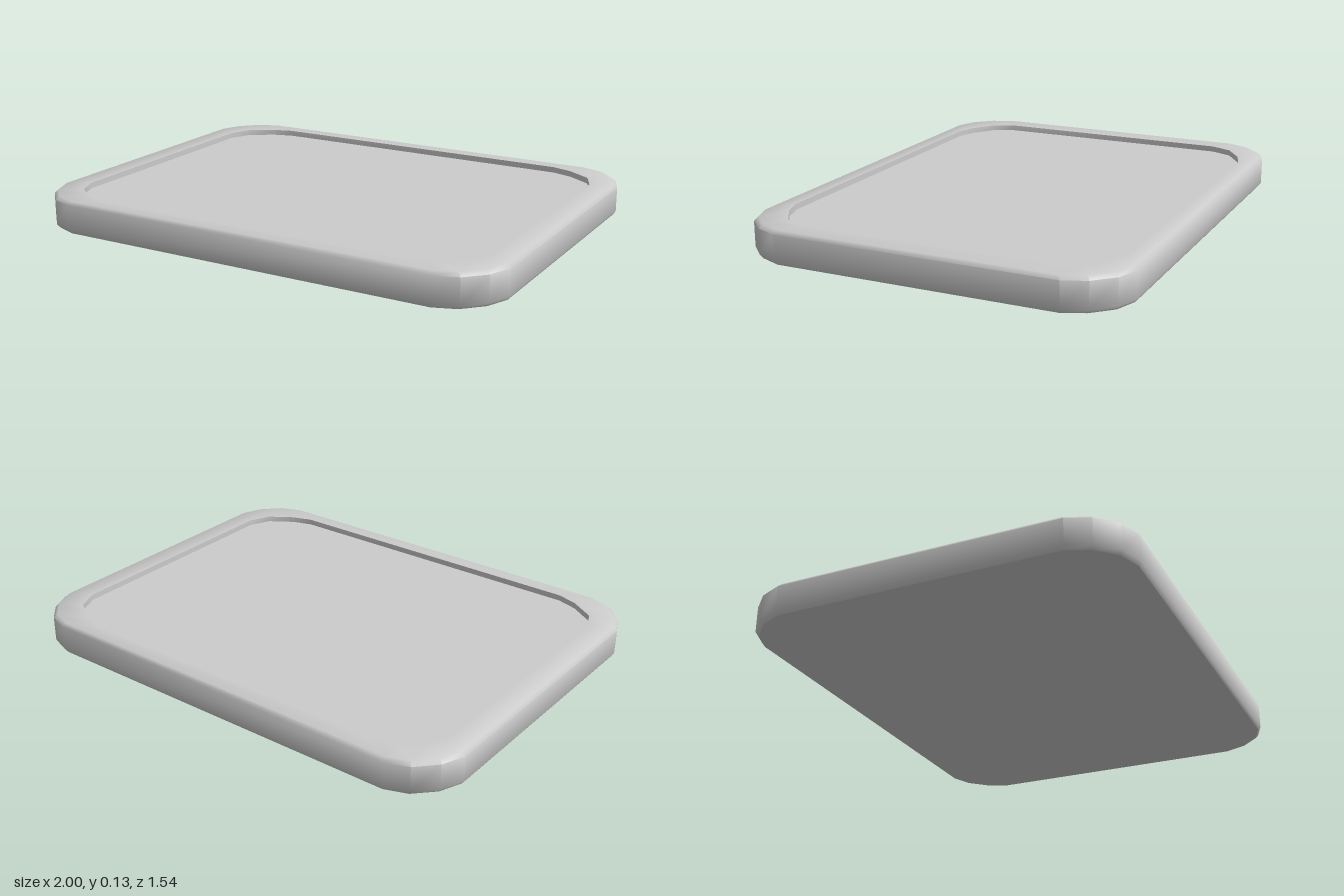
import * as THREE from 'three';
import { toCreasedNormals } from 'three/addons/utils/BufferGeometryUtils.js';

// Corner points [x, z] of one quadrant, from the side towards the front
const OUTER = [[1, 0.57], [0.963, 0.66], [0.89, 0.735], [0.8, 0.768]];
const INNER = [[0.9, 0.51], [0.86, 0.6], [0.76, 0.666], [0.675, 0.693]];

// Mirror a quadrant into a closed ring at height y, drawn in by inset
function ring(quadrant, y, inset = 0) {
  const sx = 1 - inset / quadrant[0][0];
  const sz = 1 - inset / quadrant[3][1];
  const q = quadrant.map(([x, z]) => [x * sx, z * sz]);
  const back = [...q].reverse();
  return [
    ...q,
    ...back.map(([x, z]) => [-x, z]),
    ...q.map(([x, z]) => [-x, -z]),
    ...back.map(([x, z]) => [x, -z]),
  ].map(([x, z]) => new THREE.Vector3(x, y, z));
}

// Join successive rings with quads
function loft(rings) {
  const points = [];
  for (let r = 0; r < rings.length - 1; r++) {
    const low = rings[r], high = rings[r + 1], n = low.length;
    for (let i = 0; i < n; i++) {
      const j = (i + 1) % n;
      points.push(low[i], high[i], low[j], low[j], high[i], high[j]);
    }
  }
  return points;
}

// Fill a ring with a fan from its centre
function cap(loop, up) {
  const centre = new THREE.Vector3(0, loop[0].y, 0);
  return loop.flatMap((p, i) => {
    const q = loop[(i + 1) % loop.length];
    return up ? [centre, q, p] : [centre, p, q];
  });
}

export function createModel() {
  const group = new THREE.Group();
  group.name = 'tray';
  const material = new THREE.MeshStandardMaterial({ color: 0xcccccc });

  const add = (name, points) => {
    const geometry = new THREE.BufferGeometry().setFromPoints(points);
    const mesh = new THREE.Mesh(toCreasedNormals(geometry, 0.9), material);
    mesh.name = name;
    group.add(mesh);
  };

  const base = ring(OUTER, 0, 0.01);
  const floor = ring(INNER, 0.108);

  // Bevelled outer wall, flat rim and the step down into the recess
  add('rim', loft([
    base,
    ring(OUTER, 0.015),
    ring(OUTER, 0.118),
    ring(OUTER, 0.132, 0.013),
    ring(INNER, 0.132),
    floor,
  ]));
  add('recessedFloor', cap(floor, true));
  add('underside', cap(base, false));
  return group;
}
